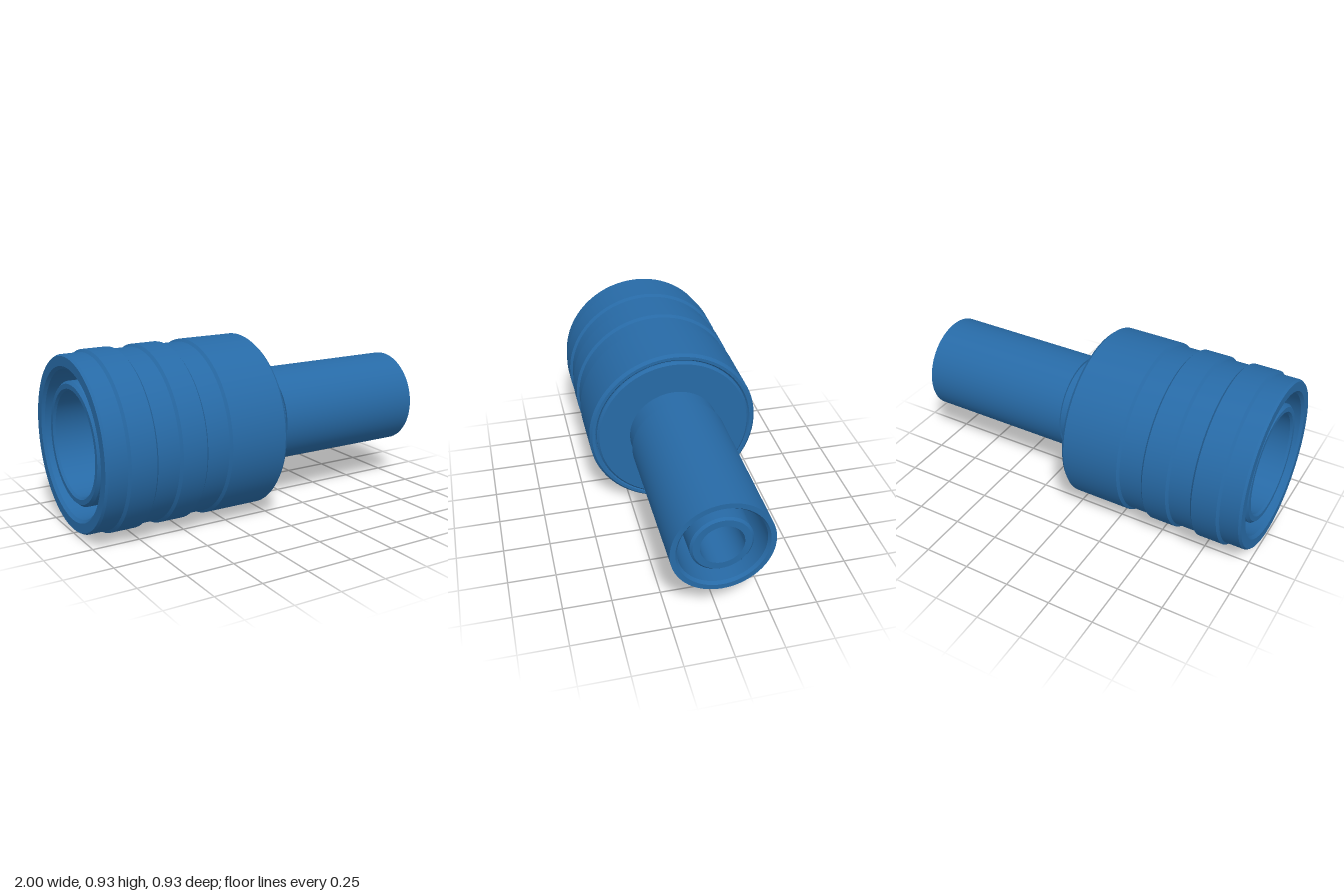
import * as THREE from 'three';
import { toCreasedNormals } from 'three/addons/utils/BufferGeometryUtils.js';

const AXIS_Y = 0.467;

export function createModel() {
  const model = new THREE.Group();
  model.name = 'tubeCoupling';
  const blue = new THREE.MeshStandardMaterial({ color: 0x276aa6 });
  blue.name = 'blue';

  // Revolve a closed [x, radius] section around the x axis
  function ring(name, section) {
    const points = [...section, section[0]].map(([x, r]) => new THREE.Vector2(r, x));
    const lathe = new THREE.LatheGeometry(points, 72).rotateZ(-Math.PI / 2);
    const mesh = new THREE.Mesh(toCreasedNormals(lathe, 0.35), blue);
    mesh.name = name;
    mesh.position.y = AXIS_Y;
    model.add(mesh);
  }

  // Raised grip bands with bevelled shoulders
  const band = (from, to) => [
    [from - 0.012, 0.453], [from, 0.467], [to, 0.467], [to + 0.012, 0.453],
  ];

  // Large housing: grip outside, stepped front disc, deep annular recess at the rear
  ring('housing', [
    [-1, 0.445], [-0.988, 0.453],
    ...band(-0.877, -0.745),
    ...band(-0.605, -0.475),
    [-0.342, 0.453], [-0.33, 0.467], [-0.018, 0.467], [-0.002, 0.453],
    [-0.002, 0.437], [-0.012, 0.428], [-0.002, 0.428], [0.01, 0.416],
    [0.01, 0.11], [-0.15, 0.11], [-0.15, 0.3],
    [-0.35, 0.3], [-0.35, 0.38], [-0.985, 0.38], [-1, 0.395],
  ]);

  // Inner socket at the rear
  ring('rearSocket', [
    [-0.98, 0.305], [-0.965, 0.318], [-0.15, 0.318], [-0.15, 0.27],
    [-0.968, 0.27], [-0.98, 0.28],
  ]);

  // Outer sleeve with a slimmer neck
  ring('sleeve', [
    [0, 0.247], [0.135, 0.247], [0.135, 0.259], [1, 0.259],
    [1, 0.232], [0.985, 0.22], [0.3, 0.22], [0.3, 0.11], [0, 0.11],
  ]);

  // Core tube inside the sleeve
  ring('coreTube', [
    [0.25, 0.157], [0.968, 0.157], [0.98, 0.145], [0.98, 0.11], [0.25, 0.11],
  ]);

  return model;
}
